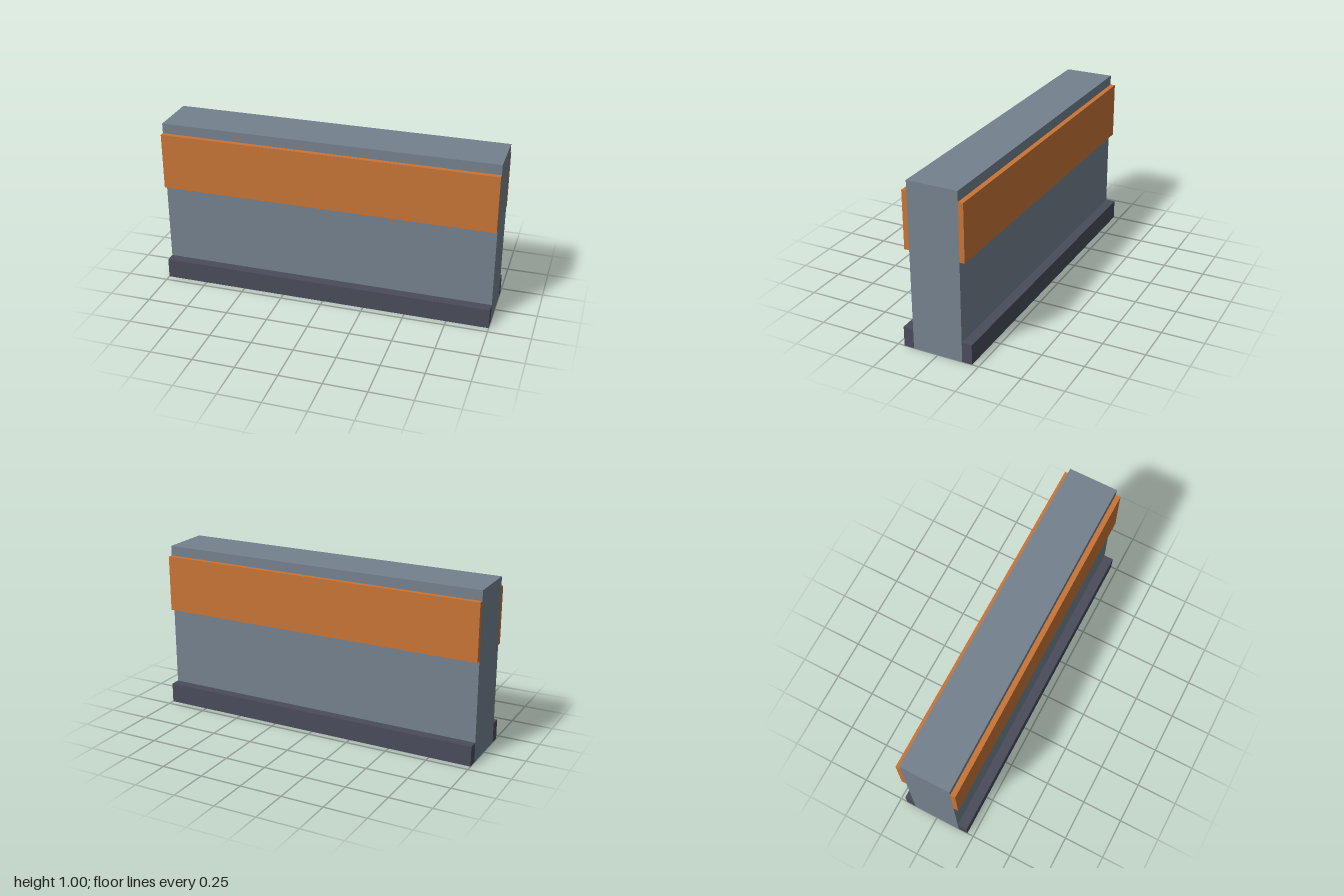
import * as THREE from 'three';

const slate = new THREE.MeshStandardMaterial({ name: 'slate grey', color: 0x74828f });
const orange = new THREE.MeshStandardMaterial({ name: 'burnt orange', color: 0xc87436 });
const dark = new THREE.MeshStandardMaterial({ name: 'dark grey', color: 0x4a4c5b });

const LENGTH = 2;
const HALF_DEPTH = 0.15;

export function createModel() {
  const group = new THREE.Group();
  group.name = 'wallSegment';

  // A full-length bar spanning the given heights and depths
  const addBar = (name, material, y0, y1, z0, z1) => {
    const bar = new THREE.Mesh(new THREE.BoxGeometry(LENGTH, y1 - y0, z1 - z0), material);
    bar.position.set(0, (y0 + y1) / 2, (z0 + z1) / 2);
    bar.name = name;
    group.add(bar);
  };

  // Core wall
  addBar('wall', slate, 0, 1, -HALF_DEPTH, HALF_DEPTH);

  // Raised band and skirting on the front
  addBar('frontBand', orange, 0.6, 0.94, HALF_DEPTH, 0.18);
  addBar('frontSkirting', dark, 0, 0.12, HALF_DEPTH, 0.21);

  // The same on the back
  addBar('backBand', orange, 0.6, 0.94, -0.18, -HALF_DEPTH);
  addBar('backSkirting', dark, 0, 0.12, -0.21, -HALF_DEPTH);

  return group;
}
